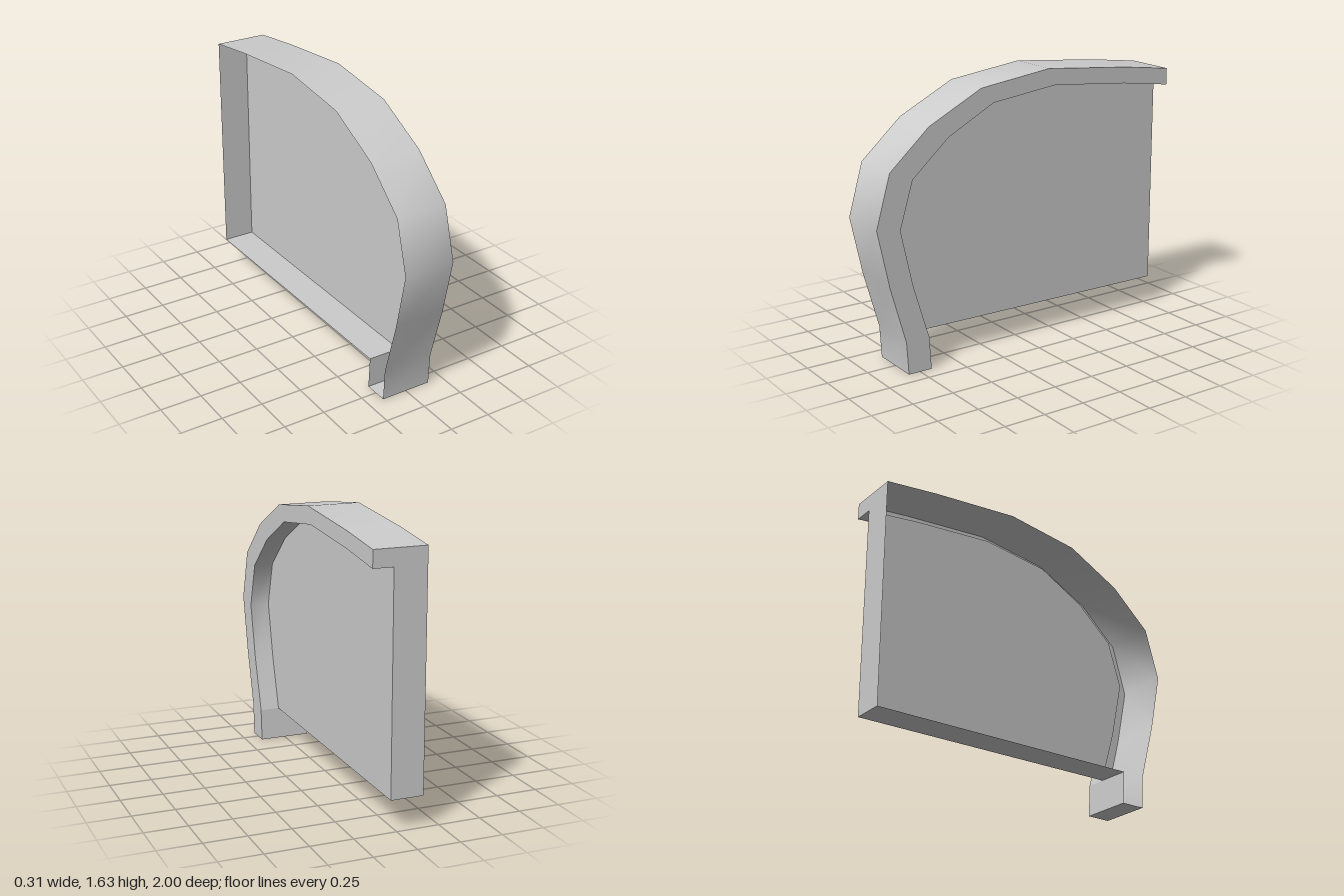
import * as THREE from 'three';

// Profiles as [z, y], from the foot of the leg up and over to the back
const outer = [[0.823, 0], [0.834, 0.193], [0.928, 0.53], [1, 0.87], [0.912, 1.176],
  [0.665, 1.396], [0.328, 1.567], [-0.127, 1.627], [-0.673, 1.578], [-1, 1.537]];
const inner = [[0.676, 0], [0.687, 0.193], [0.783, 0.515], [0.855, 0.845], [0.772, 1.118],
  [0.542, 1.321], [0.248, 1.476], [-0.17, 1.528], [-0.673, 1.482], [-1, 1.438]];
const backBottom = [-1, 0.182];
const HALF = 0.155;   // half width of the arch
const PANEL_X = 0.037; // plane of the recessed panel

// Smooth sheet that sweeps a profile across x; it faces (x cross travel direction)
function band(points, x0, x1) {
  const pos = [], index = [];
  points.forEach(([z, y], i) => {
    pos.push(x0, y, z, x1, y, z);
    if (i > 0) {
      const a = 2 * i - 2;
      index.push(a, a + 1, a + 3, a, a + 3, a + 2);
    }
  });
  const g = new THREE.BufferGeometry();
  g.setAttribute('position', new THREE.Float32BufferAttribute(pos, 3));
  g.setIndex(index);
  g.computeVertexNormals();
  return g;
}

// Flat sheet facing +x with the given outline
function sheet(points, x) {
  const shape = new THREE.Shape(points.map(([z, y]) => new THREE.Vector2(-z, y)));
  return new THREE.ShapeGeometry(shape).rotateY(Math.PI / 2).translate(x, 0, 0);
}

export function createModel() {
  const grey = new THREE.MeshStandardMaterial({ color: 0xcccccc, side: THREE.DoubleSide });
  grey.name = 'light grey';
  const model = new THREE.Group();
  model.name = 'archedFender';
  const add = (name, geometry) => {
    const mesh = new THREE.Mesh(geometry, grey);
    mesh.name = name;
    model.add(mesh);
  };
  const last = inner.length - 1;
  const innerBack = [...inner].reverse();

  // Arched rim, open on the -x side
  add('archOuter', band(outer, -HALF, HALF));
  add('archSide', sheet([...outer, ...innerBack], HALF));
  add('archInner', band(innerBack.slice(0, last), PANEL_X, HALF));
  add('archEnd', band([outer[last], inner[last]], -HALF, HALF));

  // Short leg under the front of the arch
  add('legBack', band([inner[1], inner[0]], -HALF, HALF));
  add('legBottom', band([inner[0], outer[0]], -HALF, HALF));

  // Recessed panel with its floor and back wall
  add('panel', sheet([...inner.slice(1), backBottom], PANEL_X));
  add('floor', band([backBottom, inner[1]], -HALF, PANEL_X));
  add('backWall', band([inner[last], backBottom], -HALF, PANEL_X));
  return model;
}
